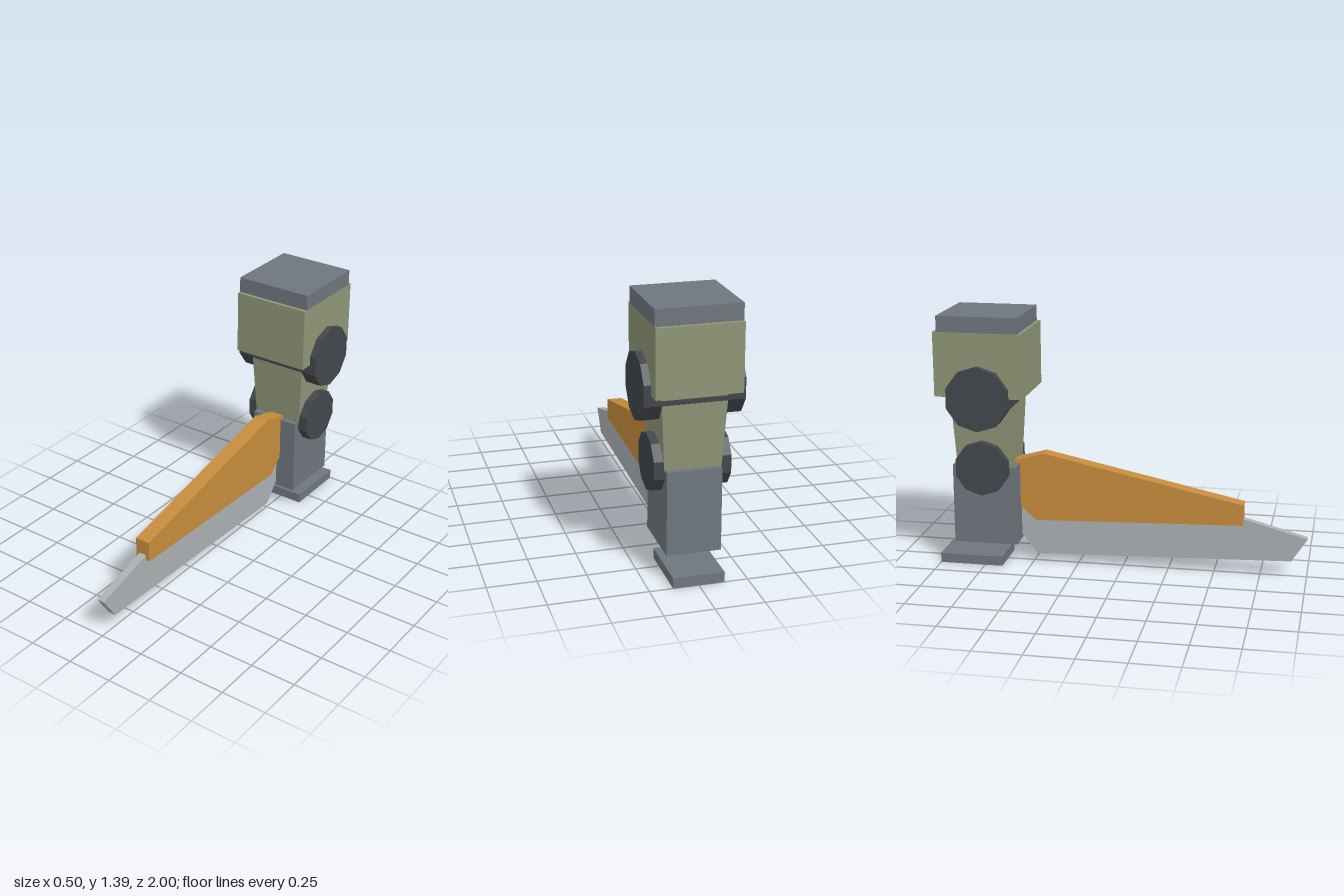
import * as THREE from 'three';

const material = (name, color) => {
  const m = new THREE.MeshStandardMaterial({ color });
  m.name = name;
  return m;
};

// Flat facets: every face gets its own normals
function flat(geometry) {
  const g = geometry.index ? geometry.toNonIndexed() : geometry;
  g.computeVertexNormals();
  return g;
}

export function createModel() {
  const group = new THREE.Group();
  group.name = 'bladeArm';

  const steel = material('blue grey steel', 0x6e767d);
  const olive = material('olive armour', 0x8e9676);
  const dark = material('dark joint', 0x42464b);
  const orange = material('orange sheath', 0xc68c3c);
  const silver = material('silver blade', 0xacb0b3);

  const add = (name, geometry, mat) => {
    const mesh = new THREE.Mesh(geometry, mat);
    mesh.name = name;
    group.add(mesh);
  };

  // Box from half width and ranges in y and z
  const block = (name, hx, y0, y1, z0, z1, mat) => add(name,
    new THREE.BoxGeometry(hx * 2, y1 - y0, z1 - z0)
      .translate(0, (y0 + y1) / 2, (z0 + z1) / 2), mat);

  // Ten-sided joint across x, with a corner at the top
  const joint = (name, r, hx, y) => add(name,
    flat(new THREE.CylinderGeometry(r, r, hx * 2, 10, 1, false, Math.PI / 2)
      .rotateZ(Math.PI / 2).translate(0, y, -0.738)), dark);

  // Plate from a side outline of [z, y] points
  const plate = (name, points, hx, mat) => add(name,
    new THREE.ExtrudeGeometry(
      new THREE.Shape(points.map(([z, y]) => new THREE.Vector2(z, y))),
      { depth: hx * 2, bevelEnabled: false })
      .translate(0, 0, -hx).rotateY(-Math.PI / 2), mat);

  // Upper arm and shoulder cap
  block('shoulderCap', 0.216, 1.309, 1.394, -0.955, -0.52, steel);
  block('upperArm', 0.216, 0.962, 1.309, -0.976, -0.5, olive);

  // Joints
  joint('elbowJoint', 0.174, 0.252, 0.96);
  joint('wristJoint', 0.148, 0.195, 0.568);

  // Tapered forearm
  const forearm = new THREE.CylinderGeometry(
    0.167 * Math.SQRT2, 0.144 * Math.SQRT2, 0.41, 4, 1, false, Math.PI / 4);
  add('forearm', flat(forearm.translate(0, 0.77, -0.739)), olive);

  // Hand block and separate base plate
  block('handBlock', 0.139, 0.132, 0.568, -0.912, -0.563, steel);
  block('basePlate', 0.131, 0, 0.053, -1, -0.652, steel);

  // Sheath and the blade beneath it
  plate('sheath', [[0.655, 0.282], [0.655, 0.395], [-0.432, 0.627],
    [-0.62, 0.575], [-0.62, 0.375], [-0.477, 0.247]], 0.042, orange);
  plate('blade', [[0.917, 0.09], [1, 0.219], [0.5, 0.354],
    [-0.6, 0.354], [-0.6, 0.2], [-0.477, 0.046]], 0.021, silver);

  return group;
}
